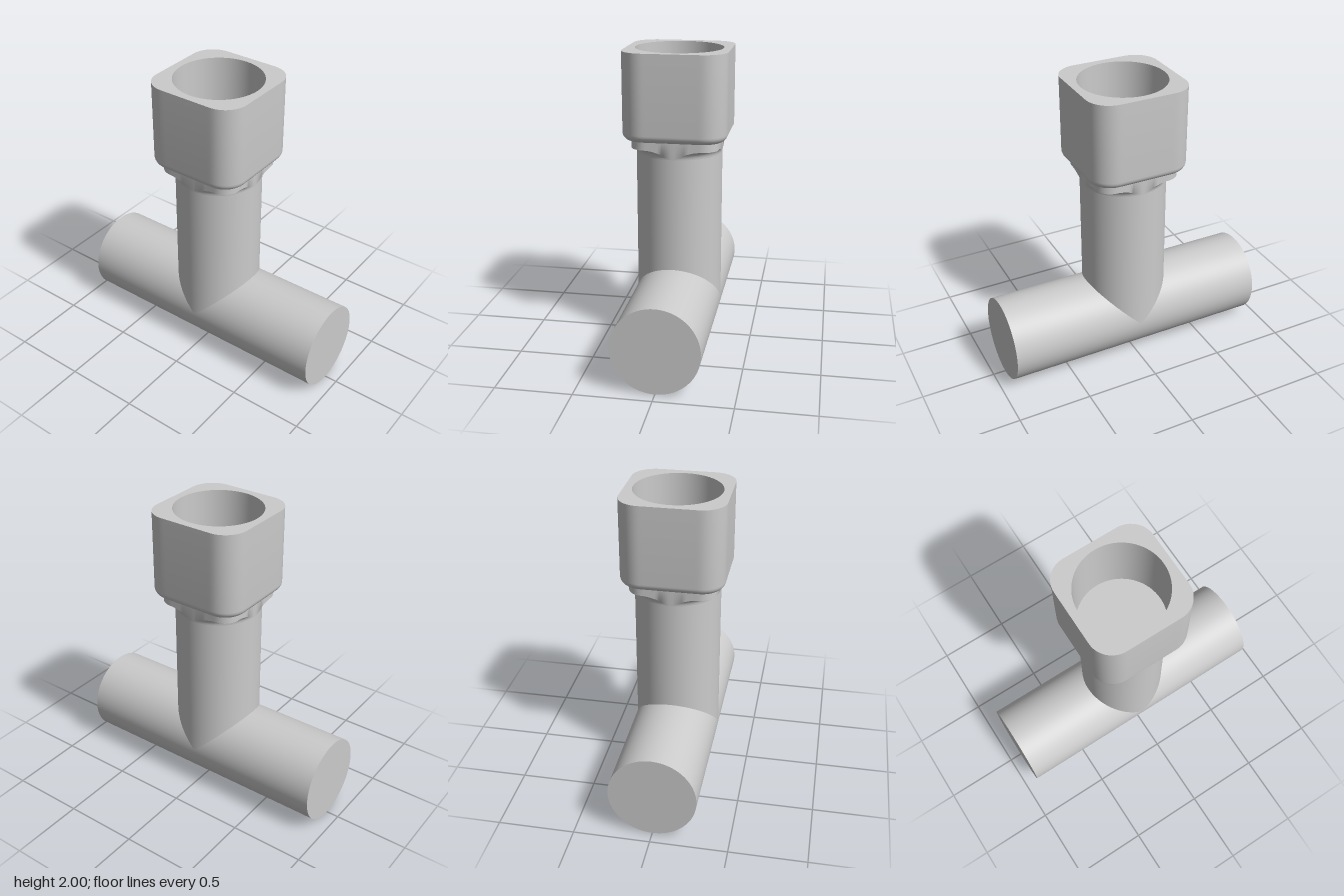
import * as THREE from 'three';
import { toCreasedNormals } from 'three/addons/utils/BufferGeometryUtils.js';

const R = 0.285; // pipe radius
const SIDES = 128;

// Polar radius of a rounded square with half width h and corner radius r
function squareRadius(angle, h, r) {
  let c = Math.abs(Math.cos(angle)), s = Math.abs(Math.sin(angle));
  if (s > c) [c, s] = [s, c];
  const k = h - r;
  if (h * s / c <= k) return h / c;
  const b = k * (c + s);
  return b + Math.sqrt(b * b - 2 * k * k + r * r);
}

// Skin a list of rings; each ring maps an angle to [radius, height]
function loft(rings) {
  const positions = [], index = [], row = SIDES + 1;
  rings.forEach((ring, i) => {
    for (let j = 0; j <= SIDES; j++) {
      const a = (j % SIDES) / SIDES * Math.PI * 2;
      const [r, y] = ring(a);
      positions.push(r * Math.cos(a), y, r * Math.sin(a));
      if (i > 0 && j < SIDES) {
        const p = (i - 1) * row + j, q = i * row + j;
        index.push(p, q, p + 1, p + 1, q, q + 1);
      }
    }
  });
  const geometry = new THREE.BufferGeometry();
  geometry.setAttribute('position', new THREE.Float32BufferAttribute(positions, 3));
  geometry.setIndex(index);
  return toCreasedNormals(geometry, 0.6);
}

const circle = (r, y) => () => [r, y];
const square = (h, r, y) => (a) => [squareRadius(a, h, r), y];

export function createModel() {
  const group = new THREE.Group();
  const material = new THREE.MeshStandardMaterial({ color: 0xcccccc });
  const add = (name, geometry) => {
    const mesh = new THREE.Mesh(geometry, material);
    mesh.name = name;
    group.add(mesh);
    return mesh;
  };

  // Horizontal pipe, closed at both ends
  const pipe = toCreasedNormals(new THREE.CylinderGeometry(R, R, 1.83, SIDES), 0.6);
  pipe.rotateX(Math.PI / 2).translate(0, R, 0);
  add('crossPipe', pipe);

  // Upright pipe, mitred where it meets the horizontal one
  add('uprightPipe', loft([
    (a) => [R, R + R * Math.abs(Math.sin(a))],
    circle(R, 1.32),
  ]));

  // Collar: concave fillet out of the round pipe to a rounded square
  const fillet = 0.055, steps = 10;
  const collar = [];
  for (let i = 0; i <= steps; i++) {
    const t = i / steps;
    collar.push((a) => {
      const edge = Math.max(squareRadius(a, R, 0.105), R);
      const d = (edge - R) * t * t;
      const u = Math.max(fillet - d, 0);
      return [R + d, 1.375 - fillet + Math.sqrt(fillet * fillet - u * u)];
    });
  }
  collar.push(square(R, 0.105, 1.44));
  add('collar', loft(collar));

  // Socket head: rounded square block with softened lower edge and a round bore
  const half = 0.34, corner = 0.155, soft = 0.05, bottom = 1.43;
  const head = [circle(0, bottom)];
  for (let i = 0; i <= 8; i++) {
    const a = i / 8 * Math.PI / 2;
    const inset = soft * (1 - Math.sin(a));
    head.push(square(half - inset, corner - inset, bottom + soft * (1 - Math.cos(a))));
  }
  head.push(
    square(half, corner, 2),
    circle(0.288, 2),
    circle(0.288, 1.49),
    circle(0, 1.49),
  );
  add('socketHead', loft(head));

  return group;
}
